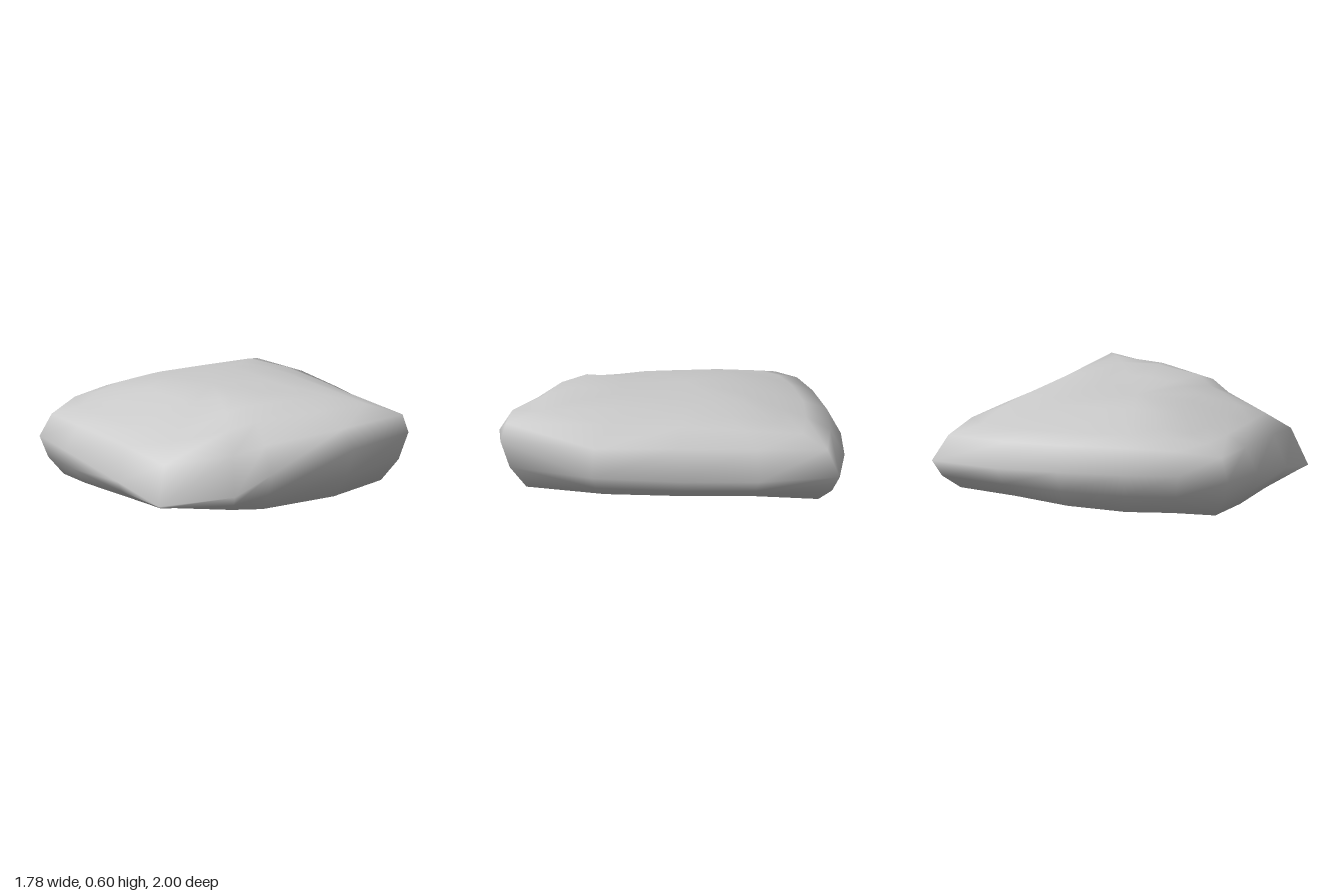
import * as THREE from 'three';

// Plan outline, clockwise from the back right corner:
// x, z, widest point y, top edge y, bottom edge y, inner top y, top edge scale, inner bottom y
const OUTLINE = [
  [0.73, -1.0, 0.29, 0.43, 0.12, 0.505, 0.92, 0.07],
  [0.81, -0.55, 0.26, 0.44, 0.14, 0.54, 0.96, 0.08],
  [0.85, -0.10, 0.25, 0.44, 0.13, 0.56, 0.97, 0.07],
  [0.89, 0.40, 0.26, 0.43, 0.13, 0.575, 0.98, 0.06],
  [0.815, 0.935, 0.43, 0.53, 0.13, 0.585, 0.97, 0.05],
  [0.45, 1.0, 0.38, 0.49, 0.08, 0.595, 0.93, 0.015],
  [-0.04, 0.96, 0.27, 0.42, 0.04, 0.58, 0.90, 0.0],
  [-0.23, 0.88, 0.14, 0.36, 0.035, 0.54, 0.91, 0.01],
  [-0.65, 0.765, 0.10, 0.32, 0.06, 0.47, 0.90, 0.03],
  [-0.75, 0.40, 0.17, 0.36, 0.05, 0.47, 0.91, 0.04],
  [-0.87, -0.08, 0.25, 0.39, 0.05, 0.47, 0.91, 0.05],
  [-0.89, -0.40, 0.26, 0.39, 0.04, 0.465, 0.93, 0.04],
  [-0.67, -0.58, 0.30, 0.43, 0.06, 0.50, 0.92, 0.025],
  [-0.40, -0.73, 0.30, 0.44, 0.06, 0.515, 0.91, 0.02],
  [-0.04, -0.88, 0.30, 0.44, 0.08, 0.51, 0.91, 0.04],
  [0.32, -0.96, 0.29, 0.43, 0.11, 0.505, 0.91, 0.055],
];

const { lerp } = THREE.MathUtils;

// Rings from the underside up to the top: [plan scale, height] for each outline point
const RINGS = [
  ({ under }) => [0.55, under],
  ({ bot }) => [0.86, bot],
  ({ mid, bot }) => [0.95, lerp(mid, bot, 0.55)],
  ({ mid }) => [1, mid],
  ({ top, s }) => [s, top],
  ({ top, inner, s }) => [(s + 0.6) / 2, lerp(top, inner, 0.65)],
  ({ inner }) => [0.6, inner],
  ({ inner }) => [0.36, lerp(inner, 0.58, 0.7)],
];

function rockGeometry() {
  const n = OUTLINE.length;
  const pos = [];
  const index = [];
  for (const ring of RINGS) {
    for (const [x, z, mid, top, bot, inner, s, under] of OUTLINE) {
      const [scale, y] = ring({ mid, top, bot, inner, s, under });
      pos.push(x * scale, y, z * scale);
    }
  }
  const bottomCentre = RINGS.length * n;
  const topCentre = bottomCentre + 1;
  pos.push(0, 0.045, 0, 0, 0.575, 0);

  const last = (RINGS.length - 1) * n;
  for (let i = 0; i < n; i++) {
    const k = (i + 1) % n;
    for (let j = 0; j < last; j += n) {
      const a = j + i, b = a + n, c = j + k, d = c + n;
      index.push(a, b, c, c, b, d);
    }
    // Close the underside and the top
    index.push(bottomCentre, i, k, topCentre, last + k, last + i);
  }

  const geo = new THREE.BufferGeometry();
  geo.setAttribute('position', new THREE.Float32BufferAttribute(pos, 3));
  geo.setIndex(index);
  geo.computeVertexNormals();
  return geo;
}

export function createModel() {
  const group = new THREE.Group();
  group.name = 'rock';
  // Flat, rounded slab of stone
  const slab = new THREE.Mesh(rockGeometry(), new THREE.MeshStandardMaterial({ color: 0xcccccc }));
  slab.name = 'rockSlab';
  group.add(slab);
  return group;
}
